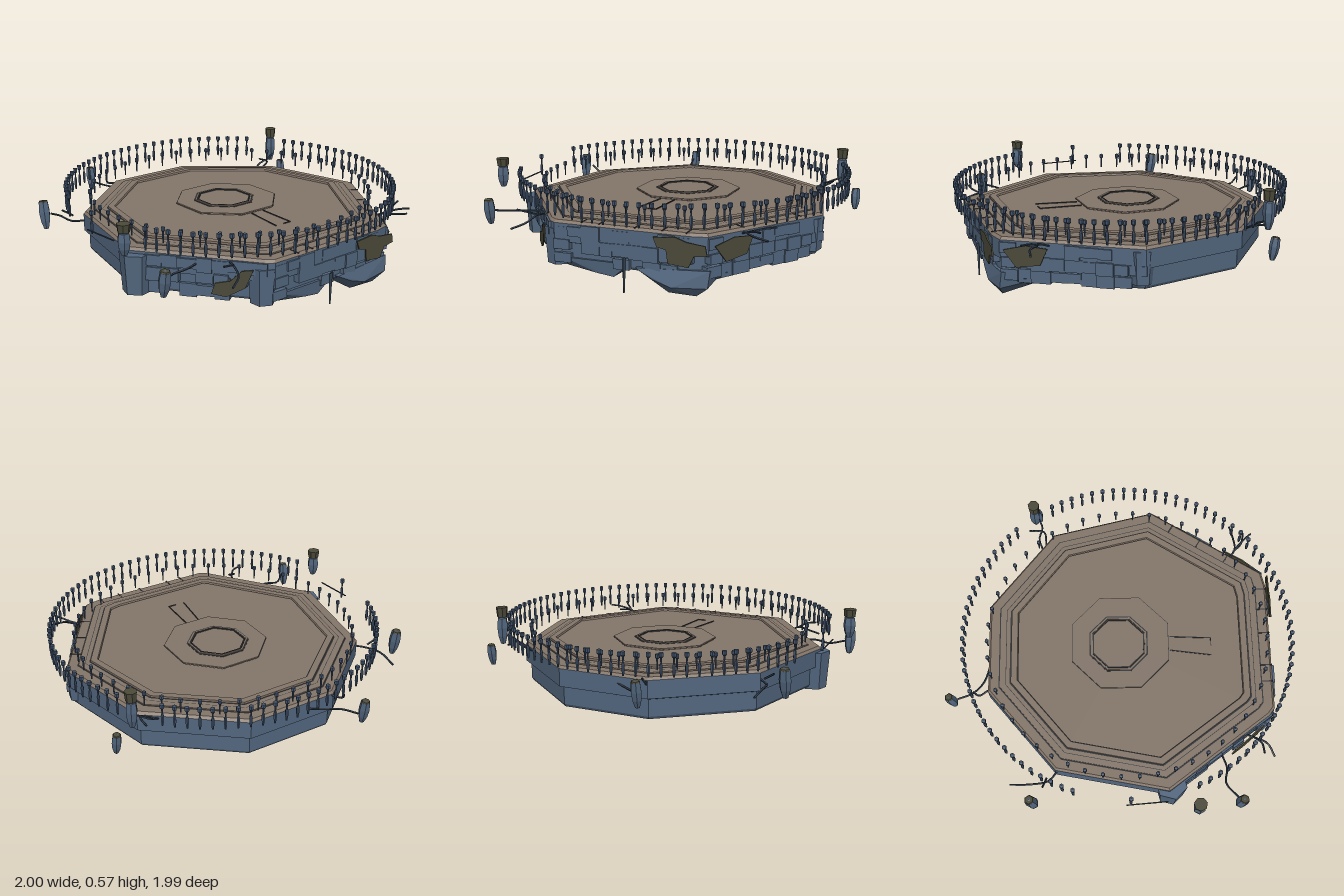
import * as THREE from 'three';
import { ConvexGeometry } from 'three/addons/geometries/ConvexGeometry.js';

const mat = (name, color) => {
  const m = new THREE.MeshStandardMaterial({ color, flatShading: true, side: THREE.DoubleSide });
  m.name = name;
  return m;
};
const CX = 0.04, CZ = -0.04;

// Deck outline, clockwise from above
const OUTLINE = [[-0.77, -0.3], [-0.39, -0.77], [0.21, -0.91], [0.86, -0.49], [0.88, -0.4],
  [0.88, 0.36], [0.85, 0.4], [0.26, 0.83], [-0.38, 0.7], [-0.77, 0.23]];
const octagon = (r) => Array.from({ length: 8 }, (_, i) => {
  const a = (i + 0.5) * Math.PI / 4;
  return [r * Math.cos(a), r * Math.sin(a)];
});

// Stacks scaled copies of an outline; each ring is [scale, y]
function loft(outline, cx, cz, rings, bottom = true, top = true) {
  const pos = [], n = outline.length;
  const at = ([s, y], i) => [cx + (outline[i % n][0] - cx) * s, y, cz + (outline[i % n][1] - cz) * s];
  for (let k = 0; k + 1 < rings.length; k++) {
    for (let i = 0; i < n; i++) {
      const bi = at(rings[k], i), bj = at(rings[k], i + 1);
      const ti = at(rings[k + 1], i), tj = at(rings[k + 1], i + 1);
      pos.push(...bj, ...bi, ...ti, ...bj, ...ti, ...tj);
    }
  }
  const lo = rings[0], hi = rings[rings.length - 1];
  for (let i = 0; i < n; i++) {
    if (top) pos.push(cx, hi[1], cz, ...at(hi, i + 1), ...at(hi, i));
    if (bottom) pos.push(cx, lo[1], cz, ...at(lo, i), ...at(lo, i + 1));
  }
  const g = new THREE.BufferGeometry();
  g.setAttribute('position', new THREE.Float32BufferAttribute(pos, 3));
  g.computeVertexNormals();
  return g;
}

export function createModel() {
  const root = new THREE.Group();
  root.name = 'floatingPlatform';
  const stone = mat('blueStone', 0x53677f), deck = mat('brownDeck', 0x84766a);
  const dark = mat('darkSeam', 0x35373a), moss = mat('darkMoss', 0x4b4a3a);
  const iron = mat('postIron', 0x40526a), root_ = mat('rootDark', 0x323f4e);
  let seed = 7;
  const rnd = () => (seed = (seed * 16807) % 2147483647) / 2147483647;
  const add = (name, geo, m, parent = root) => {
    const mesh = new THREE.Mesh(geo, m);
    mesh.name = name;
    parent.add(mesh);
    return mesh;
  };
  const group = (name) => {
    const g = new THREE.Group();
    g.name = name;
    root.add(g);
    return g;
  };

  // Body and deck
  add('body', loft(OUTLINE, CX, CZ, [[0.955, 0.115], [0.965, 0.13], [0.965, 0.225], [1, 0.235], [1, 0.335]], true, false), stone);
  add('deck', loft(OUTLINE, CX, CZ, [[1, 0.335], [0.985, 0.35], [0.915, 0.35], [0.915, 0.358], [0.835, 0.36],
    [0.835, 0.373], [0.79, 0.373], [0.785, 0.362]], false), deck);
  const seams = group('deckSeams');
  for (const [s, y, w] of [[0.915, 0.3515, 0.009], [0.87, 0.3605, 0.004], [0.835, 0.3615, 0.01], [0.782, 0.3635, 0.004]])
    add('stepSeam', loft(OUTLINE, CX, CZ, [[s + w, y], [s, y]], false, false), dark, seams);
  for (const z of [-0.38, -0.25, -0.1, 0.1, 0.2])
    add('slabSeam', new THREE.BoxGeometry(0.07, 0.004, 0.007), dark, seams).position.set(0.845, 0.35, z);
  for (const t of [0.2, 0.45, 0.7]) {
    const m = add('slabSeam', new THREE.BoxGeometry(0.07, 0.004, 0.007), dark, seams);
    m.position.set(0.19 + 0.65 * t, 0.35, -0.875 + 0.42 * t);
    m.rotation.y = -2.14;
  }

  // Central dais and ring
  add('dais', loft(octagon(0.302), 0, 0, [[1, 0.36], [1, 0.372]]), deck).position.z = -0.05;
  add('daisEdge', loft(octagon(0.306), 0, 0, [[1, 0.3655], [0.98, 0.3655]], false, false), dark).position.z = -0.05;
  for (const [r, y] of [[0.184, 0.374], [0.163, 0.379]])
    add('ringEdge', loft(octagon(r), 0, 0, [[1, 0.37], [1, y], [0.95, y], [0.95, 0.37]], false, false), dark).position.set(-0.01, 0, -0.04);
  add('ringTop', loft(octagon(0.176), 0, 0, [[1, 0.37], [1, 0.378], [0.94, 0.378], [0.94, 0.372]]), deck).position.set(-0.01, 0, -0.04);
  for (const [z, a] of [[-0.075, -0.05], [0.02, -0.14]]) {
    const m = add('rampSeam', new THREE.BoxGeometry(0.24, 0.006, 0.005), dark);
    m.position.set(0.41, 0.364, z);
    m.rotation.y = a;
  }
  add('rampEnd', new THREE.BoxGeometry(0.004, 0.006, 0.05), dark).position.set(0.53, 0.364, -0.045);

  // Irregular masonry on the broken right-hand walls
  const masonry = group('masonry');
  [[2, 3, 9], [4, 5, 9], [6, 7, 8]].forEach(([a, b, count]) => {
    const [x0, z0] = OUTLINE[a], [x1, z1] = OUTLINE[b];
    const len = Math.hypot(x1 - x0, z1 - z0), ang = Math.atan2(-(z1 - z0), x1 - x0);
    for (let row = 0; row < 3; row++) {
      for (let i = 0; i < count; i++) {
        if (rnd() < 0.3) continue;
        const t = (i + 0.5) / count, h = 0.05 + rnd() * 0.03, d = 0.035 + rnd() * 0.03;
        const inset = row === 0 ? 0.035 : 0.018;
        const m = add('block', new THREE.BoxGeometry(len / count * (0.8 + rnd() * 0.5), h, d), stone, masonry);
        m.position.set(x0 + (x1 - x0) * t - (z1 - z0) / len * -inset * -1,
          0.14 + row * 0.075 + rnd() * 0.01, z0 + (z1 - z0) * t + (x1 - x0) / len * inset);
        m.rotation.y = ang;
      }
    }
  });
  // Corner buttresses
  for (const [x, z, w, lo, hi, r] of [[0.27, 0.785, 0.15, 0.1, 0.32, 0.25], [0.8, 0.37, 0.13, 0.1, 0.3, 0.6], [0.21, -0.84, 0.12, 0.14, 0.32, 0.3]]) {
    const m = add('buttress', new THREE.CylinderGeometry(w * 0.62, w * 0.52, hi - lo, 6), stone);
    m.position.set(x, (lo + hi) / 2, z);
    m.rotation.y = r;
  }

  // Rubble hanging under the right edge
  const hull = (name, pts, m) => add(name, new ConvexGeometry(pts.map((p) => new THREE.Vector3(...p))), m);
  hull('hangingRock', [[0.5, 0.12, -0.1], [0.5, 0.12, -0.5], [0.88, 0.14, -0.1], [0.86, 0.16, -0.5], [0.885, 0.09, -0.2],
    [0.82, 0.01, -0.26], [0.84, 0.015, -0.42], [0.87, 0.07, -0.49], [0.7, 0.05, -0.35], [0.89, 0.06, -0.3]], stone);
  hull('sideRock', [[0.6, 0.12, -0.06], [0.87, 0.15, -0.06], [0.86, 0.07, 0.03], [0.86, 0.08, 0.12], [0.6, 0.12, 0.3],
    [0.87, 0.15, 0.32], [0.84, 0.1, 0.3]], stone);
  hull('backRock', [[0.6, 0.12, -0.6], [0.75, 0.13, -0.55], [0.72, 0.09, -0.52], [0.5, 0.11, -0.62], [0.5, 0.12, -0.4], [0.8, 0.13, -0.45], [0.8, 0.08, -0.45]], stone);
  hull('spike', [[0.88, 0.19, -0.05], [0.895, 0.19, -0.04], [0.88, 0.17, -0.03], [0.882, 0, -0.043], [0.89, 0, -0.038], [0.884, 0, -0.034]], root_);

  // Moss patches as thin plates
  const patch = (pts, x, z, ry) => {
    const s = new THREE.Shape(pts.map((p) => new THREE.Vector2(...p)));
    const m = add('mossPatch', new THREE.ExtrudeGeometry(s, { depth: 0.008, bevelEnabled: false }), moss);
    m.position.set(x, 0, z);
    m.rotation.y = ry;
  };
  patch([[-0.14, 0.32], [-0.12, 0.27], [-0.07, 0.26], [-0.06, 0.19], [0.05, 0.18], [0.08, 0.24], [0.15, 0.25], [0.14, 0.3], [0.04, 0.31], [-0.02, 0.33]],
    0.897, -0.35, Math.PI / 2);
  patch([[-0.12, 0.15], [-0.04, 0.14], [0.06, 0.2], [0.1, 0.3], [0.04, 0.29], [-0.02, 0.23], [-0.1, 0.21]], 0.735, 0.507, 0.63);
  patch([[-0.12, 0.29], [-0.05, 0.2], [0.08, 0.22], [0.12, 0.31], [0, 0.32]], 0.75, -0.585, Math.PI - 0.58);

  // Two rings of floating posts
  const profile = (pts) => new THREE.LatheGeometry(pts.map((p) => new THREE.Vector2(...p)), 6);
  const tall = profile([[0, 0.38], [0.005, 0.38], [0.009, 0.41], [0.009, 0.44], [0.004, 0.455], [0.006, 0.48],
    [0.013, 0.488], [0.013, 0.508], [0, 0.512]]);
  const short = profile([[0, 0.38], [0.004, 0.38], [0.006, 0.44], [0.012, 0.447], [0.011, 0.465], [0, 0.47]]);
  const posts = group('postRings');
  const ring = (name, geo, count, r, skip) => {
    for (let i = 0; i < count; i++) {
      const a = (i / count) * Math.PI * 2;
      if (skip(a)) continue;
      add(name, geo, iron, posts).position.set(CX + r * Math.cos(a), 0, CZ + r * Math.sin(a));
    }
  };
  ring('outerPost', tall, 92, 0.945, (a) => (a > 1.2 && a < 1.52) || (a > 1.62 && a < 1.85) || (a > 4.0 && a < 4.2));
  ring('innerPost', short, 50, 0.81, () => false);
  const rail = add('fallenRail', new THREE.BoxGeometry(0.23, 0.006, 0.006), root_);
  rail.position.set(0.13, 0.4, 0.91);
  rail.rotation.y = 0.07;

  // Floating boulders: x, z, bottom, top, radius, capped
  for (const [x, z, lo, hi, r, capped] of [[-0.5, -0.85, 0.35, 0.57, 0.033, 1], [0.41, 0.95, 0.38, 0.55, 0.036, 1],
    [-0.48, -0.94, 0.21, 0.34, 0.028, 0], [-0.965, 0.275, 0.25, 0.4, 0.03, 0], [-0.495, 0.88, 0.25, 0.42, 0.034, 0], [0.65, 0.89, 0.22, 0.37, 0.034, 0]]) {
    const g = group('floatingBoulder'), h = hi - lo;
    const body = add('boulder', profile([[0, 0], [r * 0.45, 0.03 * h], [r * 0.85, 0.3 * h], [r, 0.6 * h], [r * 0.85, 0.94 * h], [0, h]]), stone, g);
    g.position.set(x, lo, z);
    if (capped) {
      body.scale.y = 0.75;
      add('boulderCap', new THREE.CylinderGeometry(r * 1.05, r * 0.9, h * 0.26, 7), moss, g).position.y = h * 0.87;
    } else {
      add('boulderMoss', new THREE.CylinderGeometry(r * 0.7, r * 0.85, 0.008, 6), moss, g).position.y = h * 0.96;
      g.rotation.z = x < 0 ? 0.15 : -0.15;
    }
  }

  // Twisted roots reaching out from the walls
  for (const path of [
    [[-0.76, 0.3, 0.04], [-0.8, 0.28, 0.15], [-0.86, 0.29, 0.22], [-0.95, 0.3, 0.26]],
    [[-0.77, 0.33, 0.22], [-0.82, 0.33, 0.25], [-0.85, 0.37, 0.24]],
    [[-0.36, 0.3, 0.68], [-0.42, 0.29, 0.75], [-0.52, 0.3, 0.77], [-0.64, 0.28, 0.765]],
    [[-0.43, 0.32, 0.74], [-0.45, 0.36, 0.8]],
    [[0.56, 0.3, 0.61], [0.59, 0.3, 0.7], [0.58, 0.29, 0.78], [0.65, 0.3, 0.87]],
    [[0.68, 0.32, 0.5], [0.75, 0.33, 0.53], [0.83, 0.3, 0.56], [0.87, 0.27, 0.63]],
    [[0.75, 0.33, 0.53], [0.79, 0.35, 0.57], [0.8, 0.36, 0.63]],
    [[0.67, 0.32, -0.6], [0.71, 0.34, -0.65], [0.7, 0.36, -0.72], [0.68, 0.37, -0.79]],
    [[0.7, 0.33, -0.64], [0.75, 0.33, -0.69], [0.77, 0.32, -0.77]],
    [[0.71, 0.34, -0.65], [0.76, 0.36, -0.7], [0.81, 0.37, -0.74]],
    [[-0.46, 0.32, -0.68], [-0.48, 0.35, -0.74], [-0.46, 0.38, -0.8], [-0.48, 0.4, -0.85]],
    [[-0.44, 0.32, -0.7], [-0.45, 0.36, -0.78], [-0.54, 0.36, -0.79]],
  ]) {
    const curve = new THREE.CatmullRomCurve3(path.map((p) => new THREE.Vector3(...p)));
    add('root', new THREE.TubeGeometry(curve, 10, 0.006, 5), root_);
  }
  return root;
}
